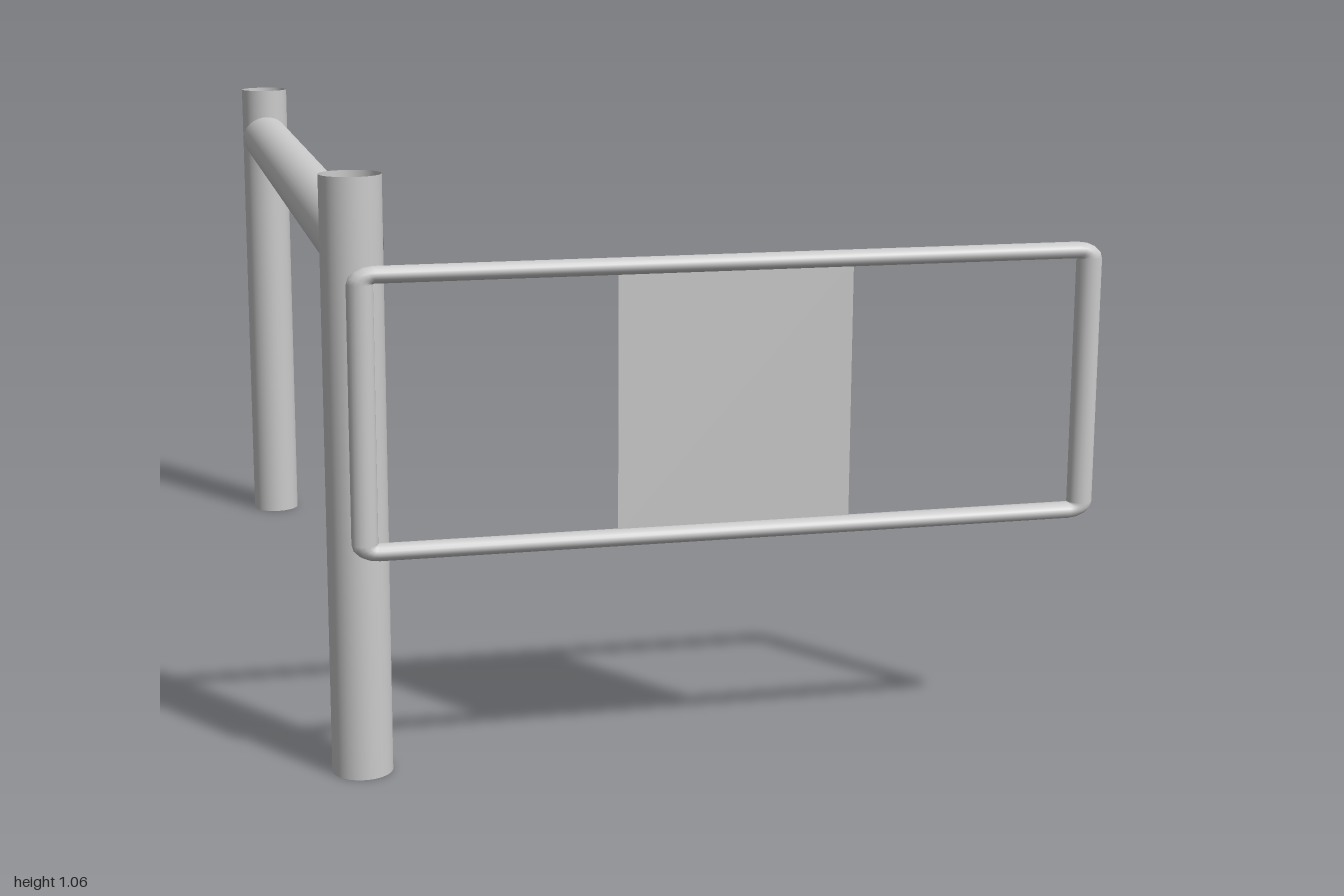
import * as THREE from 'three';

const material = new THREE.MeshStandardMaterial({ color: 0xcccccc, side: THREE.DoubleSide });
const POST_X = -0.643, POST_R = 0.054, POST_H = 1.06;
const FRONT_Z = 0.897, BACK_Z = -0.946;

function addMesh(parent, name, geometry, x, y, z) {
  const mesh = new THREE.Mesh(geometry, material);
  mesh.name = name;
  mesh.position.set(x, y, z);
  parent.add(mesh);
  return mesh;
}

// Upright tube, open at the top and closed at the foot
function makePost(name, z) {
  const post = new THREE.Group();
  post.name = name;
  post.position.set(POST_X, 0, z);
  addMesh(post, 'postTube', new THREE.CylinderGeometry(POST_R, POST_R, POST_H, 32, 1, true), 0, POST_H / 2, 0);
  addMesh(post, 'postFoot', new THREE.CircleGeometry(POST_R, 32), 0, 0, 0).rotation.x = Math.PI / 2;
  return post;
}

// Closed oval tube around a rectangle: a tight quarter bend at each inner corner
function frameGeometry(halfW, halfH, rx, ry, rz) {
  const bendSteps = 4, sides = 16, bend = 1.03;
  const positions = [], index = [];
  const corners = [[1, 1], [-1, 1], [-1, -1], [1, -1]];
  corners.forEach(([sx, sy], c) => {
    for (let s = 0; s <= bendSteps; s++) {
      const a = (c + s / bendSteps) * Math.PI / 2;
      for (let j = 0; j < sides; j++) {
        const p = j / sides * Math.PI * 2;
        const out = bend + Math.cos(p);
        positions.push(
          sx * halfW + Math.cos(a) * out * rx,
          sy * halfH + Math.sin(a) * out * ry,
          Math.sin(p) * rz
        );
      }
    }
  });
  const rings = corners.length * (bendSteps + 1);
  for (let i = 0; i < rings; i++) {
    const n = (i + 1) % rings;
    for (let j = 0; j < sides; j++) {
      const k = (j + 1) % sides;
      const a = i * sides + j, b = n * sides + j, c = n * sides + k, d = i * sides + k;
      index.push(a, b, d, b, c, d);
    }
  }
  const geometry = new THREE.BufferGeometry();
  geometry.setAttribute('position', new THREE.Float32BufferAttribute(positions, 3));
  geometry.setIndex(index);
  geometry.computeVertexNormals();
  return geometry;
}

export function createModel() {
  const model = new THREE.Group();
  model.name = 'barrierWithGate';

  model.add(makePost('frontPost', FRONT_Z), makePost('backPost', BACK_Z));

  // Rail joining the posts, its open ends hidden inside them
  const railStart = BACK_Z - 0.01, railEnd = FRONT_Z + 0.013;
  addMesh(model, 'rail', new THREE.CylinderGeometry(POST_R, POST_R, railEnd - railStart, 32, 1, true),
    POST_X, 0.942, (railStart + railEnd) / 2).rotation.x = Math.PI / 2;

  // Swinging gate: tubular frame with a thin panel
  const gate = new THREE.Group();
  gate.name = 'gate';
  gate.position.set(0.0135, 0.66, 0.979);
  addMesh(gate, 'gateFrame', frameGeometry(0.63, 0.224, 0.023, 0.015, 0.02), 0, 0, 0);
  addMesh(gate, 'gatePanel', new THREE.PlaneGeometry(0.422, 0.47), 0, 0, 0);
  model.add(gate);

  return model;
}
